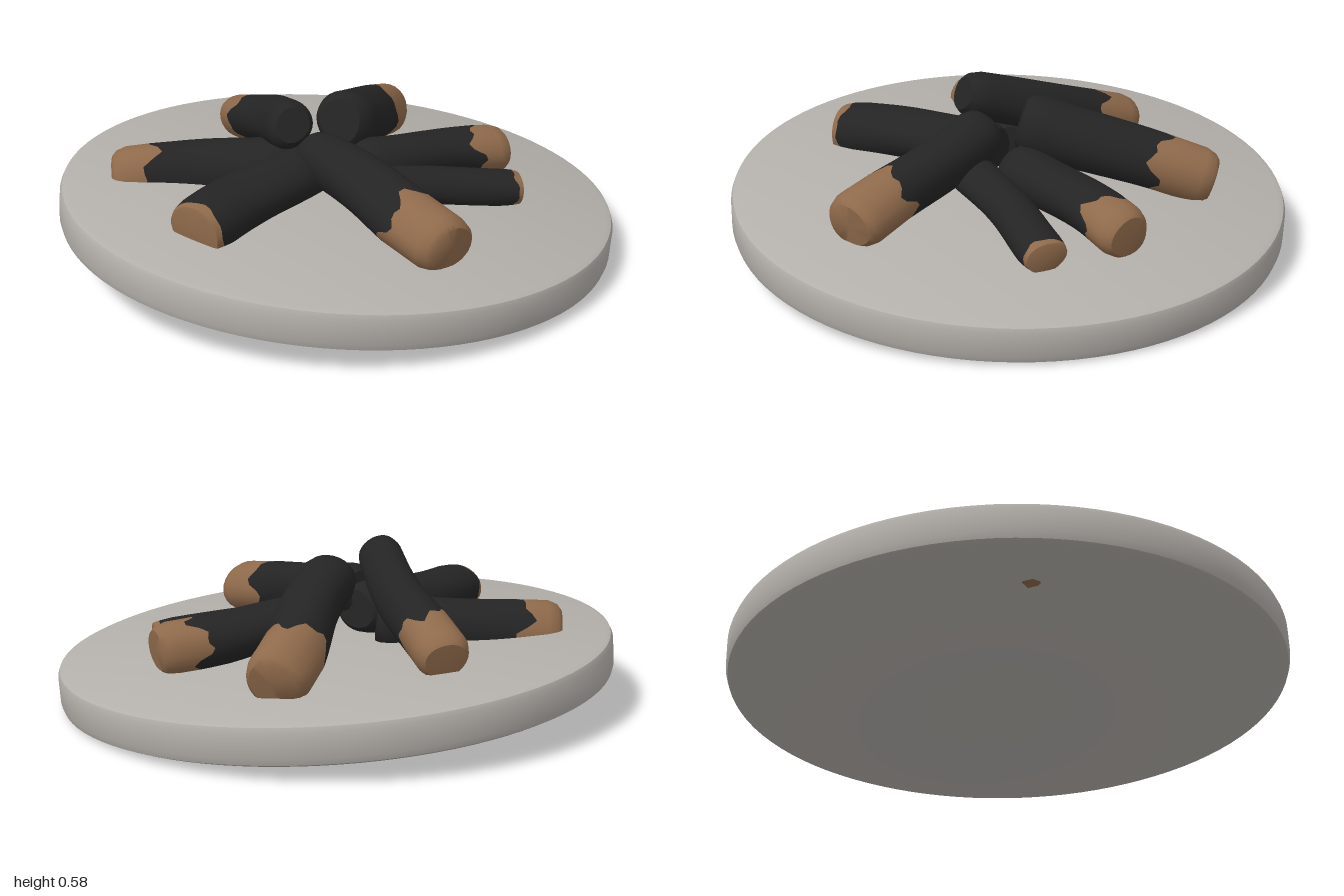
import * as THREE from 'three';
import { toCreasedNormals, mergeVertices } from 'three/addons/utils/BufferGeometryUtils.js';

const SIDES = 28;

// Closed or open skin through rows of points, each row holding SIDES points
function skin(rows) {
  const pos = [], index = [];
  rows.forEach((row) => row.forEach((p) => pos.push(p.x, p.y, p.z)));
  for (let i = 0; i < rows.length - 1; i++) {
    for (let j = 0; j < SIDES; j++) {
      const k = (j + 1) % SIDES;
      const a = i * SIDES + j, b = i * SIDES + k, c = b + SIDES, d = a + SIDES;
      index.push(a, b, c, a, c, d);
    }
  }
  const geo = new THREE.BufferGeometry();
  geo.setAttribute('position', new THREE.Float32BufferAttribute(pos, 3));
  geo.setIndex(index);
  return toCreasedNormals(mergeVertices(geo), 0.75);
}

// A log from its raised inner end to its outer end, charred up to a ragged line
function makeLog(spec, seed, charred, wood) {
  const inner = new THREE.Vector3(...spec.inner), outer = new THREE.Vector3(...spec.outer);
  const axis = outer.clone().sub(inner);
  const length = axis.length();
  axis.normalize();
  const side = new THREE.Vector3(0, 1, 0).cross(axis).normalize();
  const up = axis.clone().cross(side);
  const flat = spec.flat ?? 1;

  // Point on the log: s along the axis, a around it, k scales the radius
  const point = (s, a, k) => {
    const t = s / length;
    const lump = 1 + 0.04 * Math.sin(2 * a + seed * 1.7 + t * 4) + 0.03 * Math.sin(3 * a + seed * 2.3 - t * 5);
    const r = THREE.MathUtils.lerp(spec.rIn, spec.rOut, t) * lump * k;
    const bend = 0.012 * Math.sin(Math.PI * t * 2 + seed);
    return inner.clone()
      .addScaledVector(axis, s)
      .addScaledVector(side, r * Math.cos(a) + bend)
      .addScaledVector(up, r * flat * Math.sin(a));
  };
  const ragged = (a) => length - spec.bare
    + Math.min(spec.bare * 0.25, 0.03) * (Math.sin(3 * a + seed) + 0.6 * Math.sin(7 * a + seed * 3));
  const row = (sAt, k) => Array.from({ length: SIDES }, (_, j) => {
    const a = (j / SIDES) * Math.PI * 2;
    return point(sAt(a), a, k);
  });

  // Charred skin: blunt inner cap, then rows up to the ragged line
  const start = 0.06;
  const dark = [row(() => 0, 0.001), row(() => 0, 0.72), row(() => 0.02, 0.9)];
  const steps = 12;
  const edge = spec.bare < 0.06 ? 0.95 : 1;
  for (let i = 0; i <= steps; i++) {
    dark.push(row((a) => THREE.MathUtils.lerp(start, ragged(a), i / steps), i === steps ? edge : 1));
  }
  // Bare wood: ragged line to the bevelled outer cap
  const tip = Math.min(0.05, spec.bare * 0.4);
  const light = [row(ragged, edge)];
  if (spec.bare >= 0.06) light.push(row(() => length - tip, 0.98));
  light.push(row(() => length - tip * 0.3, 0.88), row(() => length, 0.74), row(() => length + 0.004, 0.001));

  const log = new THREE.Group();
  log.name = spec.name;
  const darkMesh = new THREE.Mesh(skin(dark), charred);
  darkMesh.name = 'charredWood';
  const lightMesh = new THREE.Mesh(skin(light), wood);
  lightMesh.name = 'bareWoodEnd';
  log.add(darkMesh, lightMesh);
  return log;
}

export function createModel() {
  const stone = new THREE.MeshStandardMaterial({ color: 0xb3afaa });
  stone.name = 'ash grey';
  const charred = new THREE.MeshStandardMaterial({ color: 0x242424 });
  charred.name = 'charcoal';
  const wood = new THREE.MeshStandardMaterial({ color: 0x8f6a4b });
  wood.name = 'wood brown';

  const group = new THREE.Group();
  group.name = 'campfire';

  // Tilted round ash bed with a softened rim
  const profile = [[0, -0.072], [0.97, -0.072], [0.99, -0.062], [0.997, -0.04], [0.997, 0.045],
    [0.99, 0.062], [0.97, 0.07], [0, 0.072]].map(([x, y]) => new THREE.Vector2(x, y));
  const bed = new THREE.Mesh(toCreasedNormals(new THREE.LatheGeometry(profile, 96), 0.7), stone);
  bed.name = 'ashBed';
  bed.rotation.z = -Math.atan(0.073);
  bed.position.y = 0.145;
  group.add(bed);

  // Logs leaning together at the centre; bare is the uncharred length
  const logs = [
    { name: 'leftLog', inner: [-0.14, 0.29, -0.06], outer: [-0.79, 0.235, -0.15], rIn: 0.105, rOut: 0.12, bare: 0.14 },
    { name: 'backLeftLog', inner: [-0.16, 0.51, 0.11], outer: [-0.275, 0.28, -0.6], rIn: 0.085, rOut: 0.093, bare: 0.18 },
    { name: 'backRightLog', inner: [0.02, 0.455, -0.04], outer: [0.30, 0.245, -0.67], rIn: 0.108, rOut: 0.108, bare: 0.22 },
    { name: 'rightLog', inner: [0.06, 0.31, -0.01], outer: [0.65, 0.245, -0.2], rIn: 0.1, rOut: 0.108, flat: 0.85, bare: 0.14 },
    { name: 'frontRightSmallLog', inner: [0.0, 0.28, 0.14], outer: [0.65, 0.215, 0.09], rIn: 0.09, rOut: 0.083, flat: 0.75, bare: 0.025 },
    { name: 'frontLog', inner: [-0.1, 0.385, 0.05], outer: [0.285, 0.265, 0.67], rIn: 0.1, rOut: 0.115, flat: 0.92, bare: 0.21 },
    { name: 'frontLeftLog', inner: [-0.08, 0.32, 0.0], outer: [-0.555, 0.285, 0.455], rIn: 0.11, rOut: 0.118, flat: 0.85, bare: 0.03 },
  ];
  logs.forEach((spec, i) => group.add(makeLog(spec, i + 1, charred, wood)));

  return group;
}
